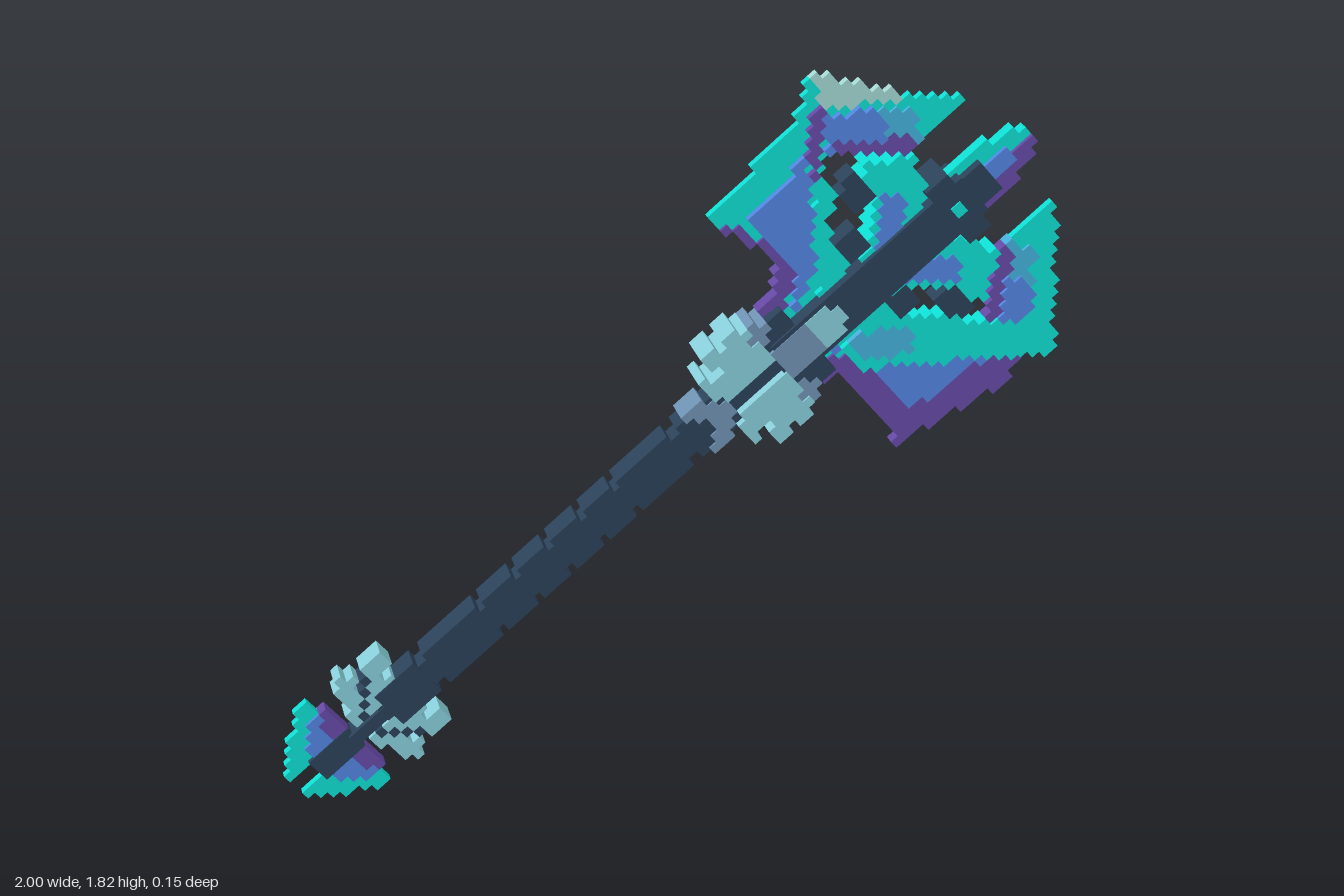
import * as THREE from 'three';
import { mergeGeometries } from 'three/addons/utils/BufferGeometryUtils.js';

// All sizes are in hundredths of a unit. u runs along the handle, v across it.
const ANGLE = 0.705, CELL = 2.25, AXIS = [-88, 11];
const C = Math.cos(ANGLE), S = Math.sin(ANGLE);

const mats = {};
for (const [name, color] of Object.entries({
  darkIron: 0x2c425a, teal: 0x0edfd4, blue: 0x5285e2, skyBlue: 0x46b0dc,
  violet: 0x6649a6, paleSteel: 0x88cfdb, steel: 0x7093b4, mint: 0xa4d8d2,
})) {
  mats[name] = new THREE.MeshStandardMaterial({ color });
  mats[name].name = name;
}

const toLocal = ([x, y]) => {
  const dx = x - AXIS[0], dy = y - AXIS[1];
  return [C * dx + S * dy, C * dy - S * dx];
};

function inside(poly, u, v) {
  let hit = false;
  for (let a = 0, b = poly.length - 1; a < poly.length; b = a++) {
    const [ua, va] = poly[a], [ub, vb] = poly[b];
    if (va > v !== vb > v && u < ((ub - ua) * (v - va)) / (vb - va) + ua) hit = !hit;
  }
  return hit;
}

// Paints a polygon onto the cell grid; later layers replace earlier ones
function paint(cells, part, color, depth, poly, mirror = true) {
  for (let i = -10; i < 110; i++) for (let j = -40; j < 40; j++) {
    if (!inside(poly, (i + 0.5) * CELL, (j + 0.5) * CELL)) continue;
    const layer = { part, color, depth, key: [part, color, depth].join() };
    cells.set(i + ',' + j, layer);
    if (mirror) cells.set(i + ',' + (-1 - j), layer);
  }
}

// Turns the painted cells into rows of blocks, one mesh per part and colour
function buildCells(cells, group) {
  const sets = {};
  for (let j = -40; j < 40; j++) for (let i = -10; i < 110; i++) {
    const layer = cells.get(i + ',' + j);
    if (!layer) continue;
    const start = i;
    while (cells.get(i + 1 + ',' + j)?.key === layer.key) i++;
    const n = i - start + 1;
    const g = new THREE.BoxGeometry(n * CELL, CELL, layer.depth * 2);
    g.translate((start + n / 2) * CELL, (j + 0.5) * CELL, 0);
    const id = layer.part + '_' + layer.color;
    (sets[id] ??= { layer, list: [] }).list.push(g);
  }
  for (const [id, { layer, list }] of Object.entries(sets)) {
    const mesh = new THREE.Mesh(mergeGeometries(list), mats[layer.color]);
    mesh.name = id;
    group.add(mesh);
  }
}

export function createModel() {
  const axe = new THREE.Group();
  axe.name = 'battleAxe';

  const bar = (name, u0, u1, halfWidth, depth, color = 'darkIron') => {
    const m = new THREE.Mesh(new THREE.BoxGeometry(u1 - u0, halfWidth * 2, depth * 2), mats[color]);
    m.position.x = (u0 + u1) / 2;
    m.name = name;
    axe.add(m);
  };

  // Handle: a slim core with thicker grip segments
  bar('handleCore', 18, 152, 3.4, 3.3);
  [[20, 33], [36, 54], [56, 66], [68, 77], [79, 88], [90, 99], [101, 118], [121, 135]]
    .forEach(([a, b], i) => bar('gripSegment' + (i + 1), a, b, 5.4, 3.9));
  bar('pommelRod', 8, 20, 1.6, 3.7);
  bar('pommelCore', -4, 9, 3.4, 2.6);

  // Head shaft with its guard bar and crossbar
  bar('guardBar', 150, 160, 11, 5.5);
  bar('headShaft', 152, 214, 5.6, 6.4);
  bar('crossbar', 205, 212, 9, 7);
  bar('shaftCap', 213, 220, 4.5, 5);
  bar('shaftGem', 207, 210, 1.6, 7.5, 'teal');

  const cells = new Map();
  const world = (part, color, depth, poly, mirror) =>
    paint(cells, part, color, depth, poly.map(toLocal), mirror);
  const local = (part, color, depth, poly, mirror) => paint(cells, part, color, depth, poly, mirror);
  const dot = (part, color, depth, u, v) =>
    local(part, color, depth, [[u - 1.1, v - 1.1], [u + 1.1, v - 1.1], [u + 1.1, v + 1.1], [u - 1.1, v + 1.1]]);

  // Blades: thin teal cutting edge, thicker coloured inside
  world('blade', 'teal', 1.2, [[9, 145], [32, 171], [34, 181], [40, 175], [73, 172], [60, 160], [40, 162],
    [36, 155], [40, 151], [39, 142], [42, 136], [46, 129], [33, 117], [22, 121], [27, 126], [25, 136], [17, 141]]);
  world('blade', 'blue', 3.3, [[18, 146], [33, 160], [35, 146], [36, 132], [31, 122], [27, 138]]);
  world('blade', 'teal', 3.3, [[35, 157], [40, 151], [39, 142], [43, 134], [44, 126], [37, 124], [35, 140]]);
  world('blade', 'violet', 2.2, [[9, 145], [16, 144], [27, 138], [31, 130], [28, 119], [22, 121], [27, 126], [25, 136], [17, 141]]);
  world('blade', 'blue', 3.3, [[37, 171], [52, 171], [54, 161], [38, 161]]);
  world('blade', 'skyBlue', 2.2, [[52, 171], [59, 171], [63, 163], [54, 161]]);
  world('blade', 'violet', 2.2, [[39, 163.5], [60, 164], [60, 160], [40, 161]]);
  world('blade', 'violet', 3.3, [[34, 172], [37, 172], [37, 155], [34, 155]]);
  world('blade', 'mint', 1.2, [[34, 181], [59, 174], [57, 172.5], [38, 172.5]], false);

  // Lower blade colouring
  world('blade', 'violet', 2.2, [[40, 108], [50, 108], [65, 88], [60, 83]], false);
  world('blade', 'teal', 3.3, [[43, 112], [54, 119], [88, 114], [95, 114], [97, 105], [48, 104]], false);
  world('blade', 'skyBlue', 3.3, [[44, 112], [53, 116], [62, 115], [62, 108], [48, 107]], false);
  world('blade', 'teal', 1.2, [[92, 114], [92, 128], [98, 143], [99, 103], [88, 104]], false);
  world('blade', 'blue', 3.3, [[50, 105], [82, 105], [61, 91]], false);
  world('blade', 'violet', 1.8, [[58, 83], [60, 92], [80, 105], [91, 104], [85, 97]], false);

  // Core wings beside the shaft, with dark studs
  world('coreWing', 'teal', 4.6, [[48, 159], [60, 159], [63, 152], [61, 141], [52, 129], [43, 125], [48, 136], [50, 146], [46, 153]]);
  world('coreWing', 'blue', 5, [[52, 150], [57, 150], [58, 138], [50, 132]]);
  for (const [x, y] of [[45, 150.5], [45, 138]]) {
    world('stud', 'darkIron', 3.5, [[x - 5, y], [x, y + 5], [x + 5, y], [x, y - 5]]);
  }

  // Tip spike: teal above, violet below
  local('spike', 'violet', 3.3, [[211, 0], [211, 8], [222, 7], [234, 2.5], [234, 0]]);
  local('spike', 'teal', 2, [[211, 0], [211, 8], [222, 7], [234, 2.5], [234, 0]], false);
  local('spike', 'blue', 3.3, [[217, -2.2], [217, 2.2], [227, 2.2], [227, -2.2]], false);

  // Guard feathers, crest and chevron
  local('guardFeather', 'paleSteel', 6.3, [[151, 2], [151, 9], [148, 16.5], [143, 17], [144, 12], [139, 16],
    [137, 13], [141, 9], [134, 10.5], [131, 7], [136, 2]]);
  local('guardFeather', 'steel', 5.7, [[151, 7], [156, 11], [151, 13], [148, 9]]);
  for (let k = 0; k < 4; k++) dot('guardNotch', 'darkIron', 6.3, 148.5 - k * CELL, 3.4 + k * CELL);
  local('guardCrest', 'steel', 6.7, [[151, 0], [151, 4.4], [160, 4.4], [164, 2.3], [164, 0]]);
  local('guardCrest', 'paleSteel', 6.7, [[162, 0], [162, 4.4], [168, 4.4], [168, 2.3], [172, 2.3], [172, 0]]);
  local('chevron', 'steel', 4.4, [[136, 0], [130, 6], [123, 6], [129, 0]]);

  // Pommel crystal and feathers
  local('pommelCrystal', 'teal', 1.2, [[-12, 2.5], [-12, 4], [-1, 12], [2, 15.5], [7, 15.5], [10, 3], [-3, 2]]);
  local('pommelCrystal', 'blue', 2.2, [[-3, 3], [0, 9], [6, 12], [9, 3]]);
  local('pommelCrystal', 'violet', 2.2, [[5, 3], [5, 9], [9, 11], [10, 3]]);
  local('pommelFeather', 'paleSteel', 3.5, [[10, 1.5], [12, 6], [14, 13], [17, 16], [20, 14], [19, 10],
    [24, 14.5], [28, 14], [28.5, 10], [24, 8], [28, 7], [26, 3], [20, 4], [20, 1.5]]);
  for (let k = 0; k < 4; k++) dot('pommelNotch', 'darkIron', 3.5, 14.6 + k * CELL, 3.4 + k * CELL);

  buildCells(cells, axe);

  // Tilt, scale to units, and stand on the ground
  axe.rotation.z = ANGLE;
  axe.scale.setScalar(0.01);
  axe.position.set(AXIS[0] / 100, AXIS[1] / 100 + 0.004, 0);
  const root = new THREE.Group();
  root.name = 'model';
  root.add(axe);
  return root;
}
